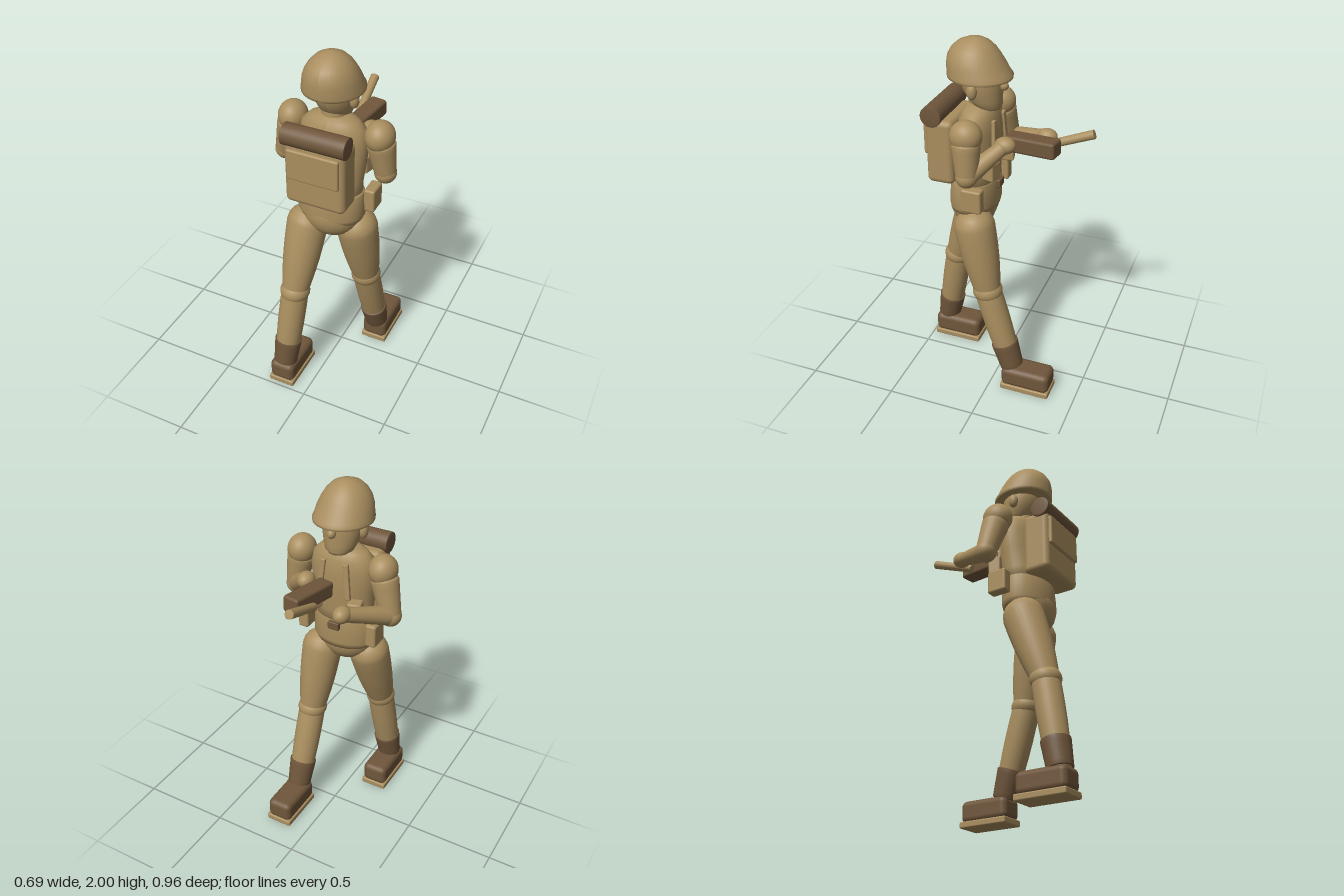
import * as THREE from 'three';
import { RoundedBoxGeometry } from 'three/addons/geometries/RoundedBoxGeometry.js';

const tan = new THREE.MeshStandardMaterial({ color: 0xa98e5f });
tan.name = 'khaki tan';
const brown = new THREE.MeshStandardMaterial({ color: 0x6f563b });
brown.name = 'leather brown';

const V = (p) => new THREE.Vector3(...p);

function add(parent, name, geometry, material, pos = [0, 0, 0], rot = [0, 0, 0]) {
  const mesh = new THREE.Mesh(geometry, material);
  mesh.name = name;
  mesh.position.set(...pos);
  mesh.rotation.set(...rot);
  parent.add(mesh);
  return mesh;
}

function ball(parent, name, pos, radii, material = tan) {
  const mesh = add(parent, name, new THREE.SphereGeometry(1, 28, 18), material, pos);
  mesh.scale.set(...radii);
  return mesh;
}

function block(parent, name, pos, size, material = tan, radius = 0.01, rot) {
  return add(parent, name, new RoundedBoxGeometry(...size, 3, radius), material, pos, rot);
}

// Tapered limb between two points, with optional swelling and domed ends
function limb(parent, name, a, b, ra, rb, material = tan, { bulge = 0, dome = 0.4 } = {}) {
  const from = V(a), to = V(b), length = from.distanceTo(to), profile = [];
  for (let i = 0; i <= 5; i++) {
    const t = (i / 5) * Math.PI / 2;
    profile.push(new THREE.Vector2(ra * Math.sin(t), -ra * dome * Math.cos(t)));
  }
  for (let i = 1; i < 6; i++) {
    const t = i / 6;
    profile.push(new THREE.Vector2(ra + (rb - ra) * t + bulge * Math.sin(Math.PI * t), length * t));
  }
  for (let i = 0; i <= 5; i++) {
    const t = (i / 5) * Math.PI / 2;
    profile.push(new THREE.Vector2(rb * Math.cos(t), length + rb * dome * Math.sin(t)));
  }
  const mesh = add(parent, name, new THREE.LatheGeometry(profile, 28), material, a);
  mesh.quaternion.setFromUnitVectors(new THREE.Vector3(0, 1, 0), to.sub(from).normalize());
  return mesh;
}

// Smooth body through elliptical rings [y, centreZ, radiusX, radiusZ], listed bottom to top
function loft(parent, name, rings, centreX, material = tan, sides = 32) {
  const positions = [], index = [], row = sides + 1;
  const all = [[rings[0][0], rings[0][1], 0, 0], ...rings];
  const last = rings[rings.length - 1];
  all.push([last[0], last[1], 0, 0]);
  all.forEach(([y, z, rx, rz], r) => {
    for (let i = 0; i <= sides; i++) {
      const t = (i / sides) * Math.PI * 2;
      positions.push(centreX + rx * Math.sin(t), y, z + rz * Math.cos(t));
      if (r && i) {
        const d = r * row + i, c = d - 1, b = d - row, a = b - 1;
        index.push(a, b, d, a, d, c);
      }
    }
  });
  const geometry = new THREE.BufferGeometry();
  geometry.setAttribute('position', new THREE.Float32BufferAttribute(positions, 3));
  geometry.setIndex(index);
  geometry.computeVertexNormals();
  return add(parent, name, geometry, material);
}

function group(parent, name) {
  const g = new THREE.Group();
  g.name = name;
  parent.add(g);
  return g;
}

export function createModel() {
  const model = new THREE.Group();
  model.name = 'marchingFigure';
  const cx = 0.015;

  // Head and helmet; the face looks towards -z
  const head = group(model, 'head');
  loft(head, 'skull', [
    [1.64, 0.065, 0.055, 0.055], [1.655, 0.075, 0.075, 0.072], [1.69, 0.09, 0.09, 0.088],
    [1.74, 0.105, 0.103, 0.103], [1.79, 0.11, 0.108, 0.108], [1.86, 0.115, 0.1, 0.1],
  ], cx);
  limb(head, 'neck', [cx, 1.56, 0.12], [cx, 1.7, 0.11], 0.07, 0.065);
  ball(head, 'nose', [cx, 1.765, -0.008], [0.022, 0.025, 0.025]);
  for (const s of [-1, 1]) ball(head, 'ear', [cx + s * 0.11, 1.755, 0.12], [0.024, 0.042, 0.027]);
  loft(head, 'helmet', [
    [1.8, 0.116, 0.15, 0.16], [1.802, 0.117, 0.156, 0.168], [1.815, 0.118, 0.157, 0.169],
    [1.83, 0.124, 0.151, 0.163], [1.87, 0.136, 0.144, 0.152], [1.91, 0.146, 0.128, 0.137],
    [1.945, 0.148, 0.107, 0.115], [1.975, 0.147, 0.077, 0.083], [1.993, 0.143, 0.042, 0.045],
    [2.0, 0.14, 0.012, 0.012],
  ], 0.016);

  // Trunk
  const trunk = group(model, 'trunk');
  loft(trunk, 'torso', [
    [1.2, 0.145, 0.168, 0.118], [1.3, 0.135, 0.165, 0.114], [1.42, 0.125, 0.18, 0.113],
    [1.53, 0.12, 0.186, 0.108], [1.6, 0.118, 0.17, 0.097], [1.64, 0.118, 0.13, 0.08],
    [1.665, 0.118, 0.07, 0.06],
  ], cx);
  loft(trunk, 'jacketSkirt', [
    [1.08, 0.15, 0.17, 0.125], [1.11, 0.15, 0.184, 0.131], [1.18, 0.148, 0.182, 0.129],
    [1.24, 0.145, 0.178, 0.126], [1.247, 0.145, 0.168, 0.118],
  ], cx);
  ball(trunk, 'pelvis', [cx, 1.1, 0.155], [0.165, 0.142, 0.128]);
  block(trunk, 'beltBuckle', [cx, 1.22, 0.013], [0.065, 0.045, 0.025], brown, 0.006);
  for (const s of [-1, 1]) {
    block(trunk, 'chestStrap', [cx + s * 0.075, 1.5, 0.016], [0.03, 0.2, 0.02], tan, 0.005, [0.05, 0, s * 0.1]);
    block(trunk, 'chestPouch', [cx + s * 0.125, 1.35, 0.015], [0.075, 0.1, 0.07], tan, 0.01, [0, -s * 0.25, 0]);
    block(trunk, 'hipPouch', [cx + s * 0.205, 1.2, 0.088], [0.06, 0.13, 0.11], tan, 0.012);
  }

  // Backpack with flap and bedroll
  const pack = group(model, 'backpack');
  block(pack, 'packBody', [0.02, 1.415, 0.286], [0.325, 0.355, 0.15], tan, 0.03);
  block(pack, 'packFlap', [0.02, 1.475, 0.363], [0.28, 0.17, 0.03], tan, 0.01);
  limb(pack, 'bedroll', [-0.15, 1.614, 0.322], [0.187, 1.614, 0.322], 0.057, 0.057, brown, { dome: 0.08 });

  // Arms: shoulder, elbow and hand positions
  const arms = [
    ['leftArm', [0.255, 1.578, 0.1], [0.285, 1.37, 0.088], [0.135, 1.5, -0.06]],
    ['rightArm', [-0.222, 1.578, 0.1], [-0.288, 1.345, 0.07], [-0.148, 1.445, -0.19]],
  ];
  for (const [name, shoulder, elbow, hand] of arms) {
    const arm = group(model, name);
    ball(arm, 'shoulder', shoulder, [0.076, 0.082, 0.084]);
    limb(arm, 'upperArm', V(shoulder).lerp(V(elbow), 0.22).toArray(), elbow, 0.074, 0.056);
    ball(arm, 'elbow', elbow, [0.058, 0.058, 0.058]);
    limb(arm, 'forearm', elbow, hand, 0.053, 0.036);
    ball(arm, 'hand', hand, [0.045, 0.044, 0.055]);
  }

  // Held launcher: dark body and loose-set barrel
  const launcher = group(model, 'launcher');
  const body = block(launcher, 'launcherBody', [0.052, 1.485, -0.175], [0.095, 0.088, 0.285], brown, 0.015);
  body.rotation.set(0.06, -0.16, 0, 'YXZ');
  limb(launcher, 'launcherBarrel', [-0.006, 1.465, -0.225], [-0.025, 1.56, -0.473], 0.022, 0.024, tan, { dome: 0.05 });

  // Legs: hip, knee, ankle and centre of the boot
  const legs = [
    ['leftLeg', [0.143, 1.0, 0.11], [0.166, 0.615, 0.03], [0.178, 0.14, -0.118], [0.178, -0.215]],
    ['rightLeg', [-0.108, 1.0, 0.19], [-0.125, 0.615, 0.325], [-0.157, 0.14, 0.412], [-0.157, 0.338]],
  ];
  for (const [name, hip, knee, ankle, [bx, bz]] of legs) {
    const leg = group(model, name);
    limb(leg, 'thigh', hip, knee, 0.111, 0.072, tan, { bulge: 0.008, dome: 0.9 });
    ball(leg, 'knee', knee, [0.082, 0.068, 0.083]);
    limb(leg, 'shin', knee, ankle, 0.074, 0.058, tan, { bulge: 0.007 });
    const cuffTop = V(ankle).lerp(V(knee), 0.3).toArray();
    limb(leg, 'bootCuff', ankle, cuffTop, 0.066, 0.076, brown, { dome: 0.1 });
    block(leg, 'boot', [bx, 0.085, bz], [0.146, 0.12, 0.282], brown, 0.032);
    block(leg, 'bootSole', [bx, 0.0175, bz], [0.152, 0.035, 0.286], tan, 0.008);
  }
  return model;
}
